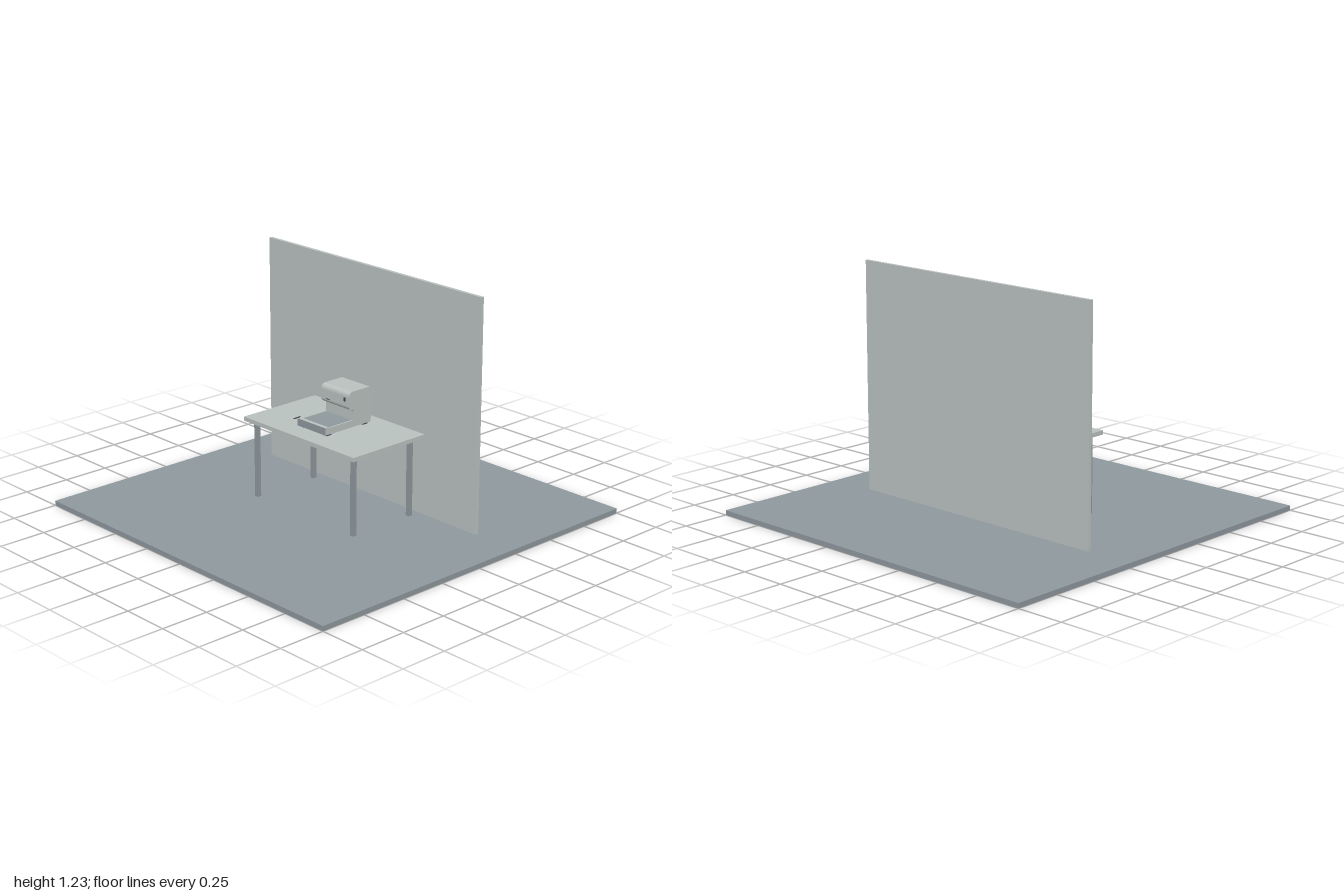
import * as THREE from 'three';

function material(name, color) {
  const m = new THREE.MeshStandardMaterial({ color });
  m.name = name;
  return m;
}

export function createModel() {
  const root = new THREE.Group();
  root.name = 'deskDisplay';
  const light = material('paleGrey', 0xbac2c0);
  const slate = material('slateGrey', 0x8e989e);
  const dark = material('charcoal', 0x3c4245);

  // Box given by its minimum and maximum corners
  function box(name, mat, x0, x1, y0, y1, z0, z1, parent = root) {
    const mesh = new THREE.Mesh(new THREE.BoxGeometry(x1 - x0, y1 - y0, z1 - z0), mat);
    mesh.position.set((x0 + x1) / 2, (y0 + y1) / 2, (z0 + z1) / 2);
    mesh.name = name;
    parent.add(mesh);
    return mesh;
  }

  // Room
  box('floor', slate, -1, 1, 0, 0.025, -1, 1);
  box('wall', light, -0.75, 0.75, 0.025, 1.225, -0.255, -0.237);

  // Table
  const table = new THREE.Group();
  table.name = 'table';
  root.add(table);
  box('tableTop', light, -0.4, 0.4, 0.43, 0.452, -0.23, 0.25, table);
  for (const x of [-0.352, 0.352])
    for (const z of [-0.176, 0.204])
      box('tableLeg', slate, x - 0.011, x + 0.011, 0.025, 0.43, z - 0.011, z + 0.011, table);

  // Machine: side profile (z, y) extruded across its width
  const machine = new THREE.Group();
  machine.name = 'machine';
  root.add(machine);
  const s = new THREE.Shape();
  s.moveTo(-0.152, 0.46);
  s.lineTo(0.155, 0.46);
  s.lineTo(0.155, 0.488);
  s.lineTo(-0.034, 0.488);
  s.lineTo(-0.034, 0.54);
  s.quadraticCurveTo(-0.034, 0.548, -0.024, 0.55);
  s.quadraticCurveTo(-0.003, 0.553, -0.003, 0.572);
  s.lineTo(-0.003, 0.617);
  s.quadraticCurveTo(-0.003, 0.645, -0.03, 0.645);
  s.lineTo(-0.14, 0.645);
  s.quadraticCurveTo(-0.152, 0.645, -0.152, 0.633);
  s.closePath();
  const bodyGeometry = new THREE.ExtrudeGeometry(s, { depth: 0.2, bevelEnabled: false, curveSegments: 8 });
  bodyGeometry.rotateY(-Math.PI / 2).translate(0.1, 0, 0);
  const body = new THREE.Mesh(bodyGeometry, light);
  body.name = 'machineBody';
  machine.add(body);

  // Tray with a low rim and slate front
  for (const side of [-1, 1])
    box('trayRim', light, side * 0.096 - 0.004, side * 0.096 + 0.004, 0.488, 0.495, -0.034, 0.155, machine);
  box('trayLip', light, -0.1, 0.1, 0.488, 0.499, 0.135, 0.155, machine);
  box('trayPlate', slate, -0.092, 0.092, 0.488, 0.492, -0.033, 0.135, machine);
  box('trayFront', slate, -0.1, 0.1, 0.463, 0.499, 0.155, 0.159, machine);

  // Feet
  for (const x of [-0.078, 0.078])
    for (const z of [-0.12, 0.125])
      box('foot', dark, x - 0.016, x + 0.016, 0.452, 0.46, z - 0.016, z + 0.016, machine);

  // Small front details
  box('powerSwitch', dark, 0.066, 0.075, 0.594, 0.613, -0.003, 0.001, machine);
  box('frontSlot', dark, -0.064, -0.036, 0.572, 0.575, -0.003, -0.001, machine);

  // Pen lying on the table
  const pen = new THREE.Mesh(new THREE.CylinderGeometry(0.003, 0.003, 0.045, 8), dark);
  pen.rotation.x = Math.PI / 2;
  pen.position.set(-0.2, 0.455, 0.072);
  pen.name = 'pen';
  root.add(pen);

  return root;
}
